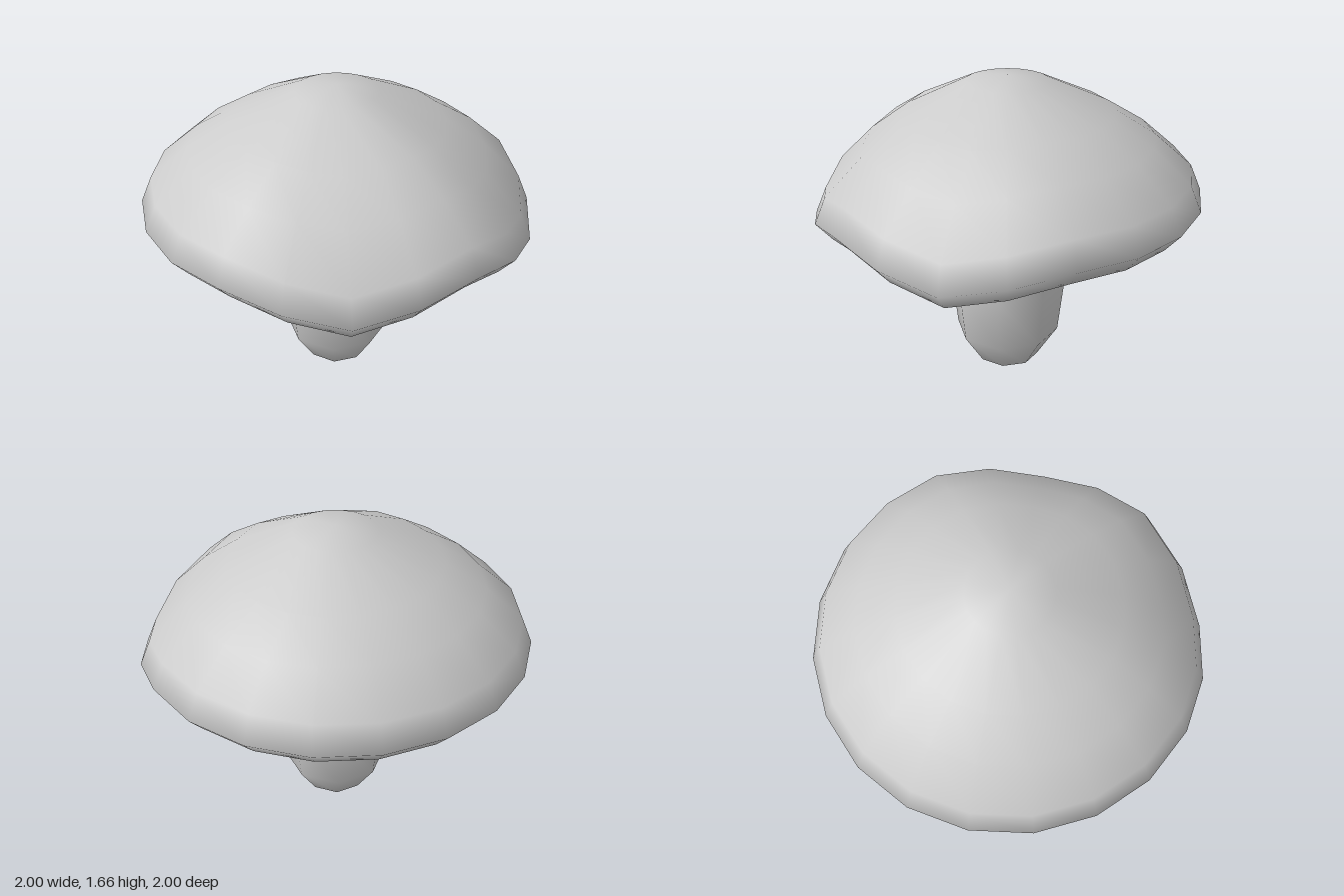
import * as THREE from 'three';
import { mergeVertices } from 'three/addons/utils/BufferGeometryUtils.js';

const material = new THREE.MeshStandardMaterial({ color: 0xcccccc });
const DEG = Math.PI / 180;

// Closed turned shape with welded vertices and smooth normals
function turned(name, profile, sides, startAngle, reshape) {
  const points = profile.map(([r, y]) => new THREE.Vector2(r, y));
  let geometry = new THREE.LatheGeometry(points, sides, startAngle);
  if (reshape) reshape(geometry.attributes.position, points.length);
  geometry.deleteAttribute('uv');
  geometry.deleteAttribute('normal');
  geometry = mergeVertices(geometry, 1e-4);
  geometry.computeVertexNormals();
  const mesh = new THREE.Mesh(geometry, material);
  mesh.name = name;
  return mesh;
}

export function createModel() {
  const group = new THREE.Group();
  group.name = 'mushroom';

  // Cap rings from underside to crown: radius, height, sag at the lobes
  const capRings = [
    [0, 0.95, 0], [0.27, 0.95, 0.02], [0.59, 0.93, 0.105], [0.93, 0.95, 0.125],
    [1.0125, 1.045, 0.125], [0.955, 1.18, 0.125], [0.76, 1.35, 0.08],
    [0.55, 1.48, 0.03], [0.215, 1.635, 0], [0, 1.665, 0],
  ];
  // Two drooping lobes in the brim, 9 and 81 degrees round from the front
  const droop = (position, ringCount) => {
    for (let i = 0; i < position.count; i++) {
      const angle = Math.atan2(position.getX(i), position.getZ(i)) / DEG;
      const distance = Math.min(Math.abs(angle - 9), Math.abs(angle - 81));
      const weight = Math.max(0, 1 - distance / 36);
      position.setY(i, position.getY(i) - weight * capRings[i % ringCount][2]);
    }
  };
  group.add(turned('cap', capRings, 20, 9 * DEG, droop));

  // Eight-sided bulging stem with a rounded foot
  const stemRings = [
    [0, 0], [0.17, 0.055], [0.28, 0.225], [0.315, 0.53], [0.27, 0.91], [0.255, 1.02], [0, 1.06],
  ];
  group.add(turned('stem', stemRings, 8, 0));

  return group;
}
